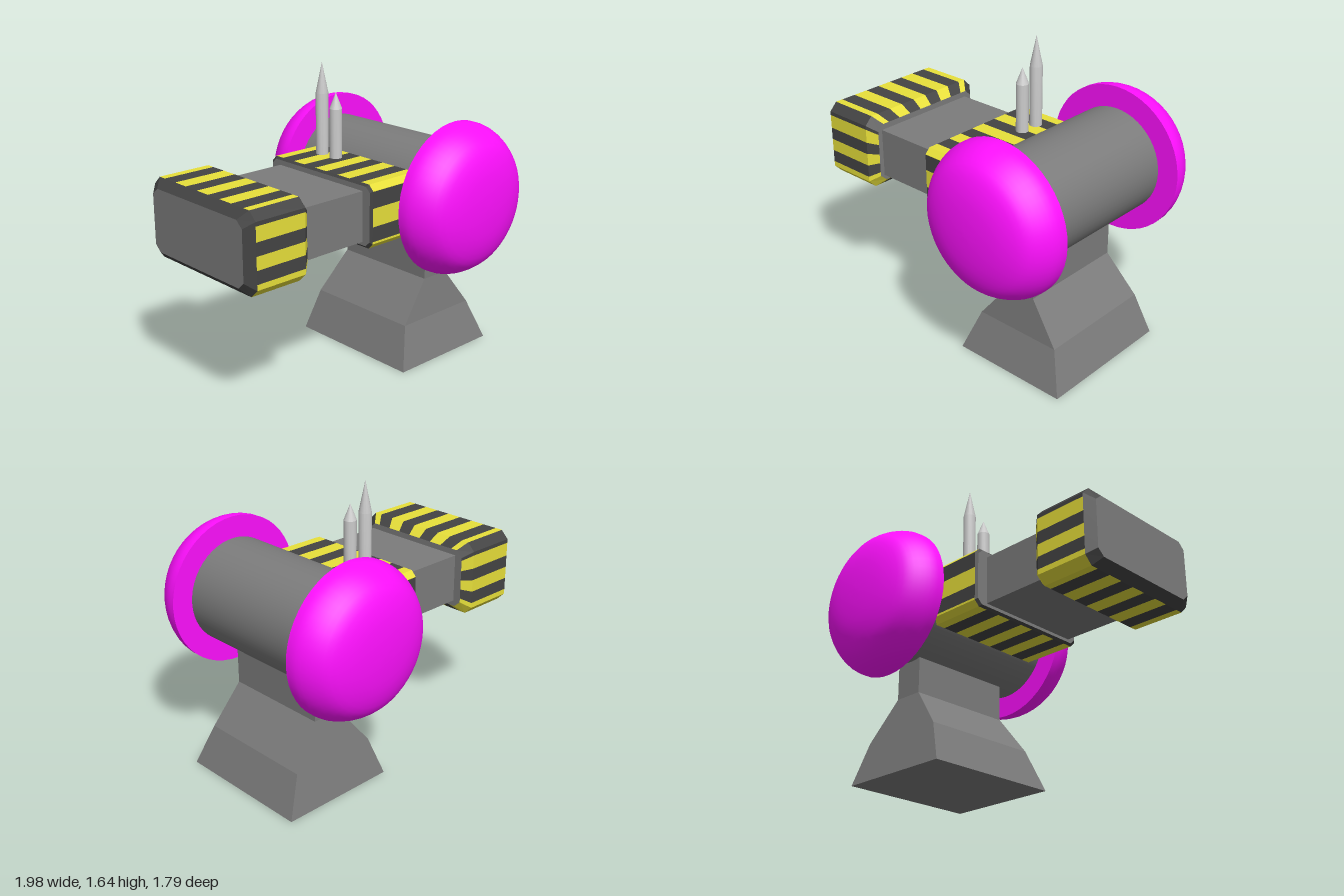
import * as THREE from 'three';
import { toCreasedNormals } from 'three/addons/utils/BufferGeometryUtils.js';

const mat = (color) => new THREE.MeshStandardMaterial({ color });
const GREY = mat(0x7c7c7c), LIGHT = mat(0xcccccc), DARK = mat(0x444444);
const YELLOW = mat(0xe8e03a), MAGENTA = mat(0xff10ff);

function add(parent, name, geometry, material, x = 0, y = 0, z = 0) {
  const mesh = new THREE.Mesh(geometry, material);
  mesh.name = name;
  mesh.position.set(x, y, z);
  parent.add(mesh);
  return mesh;
}

function fromTriangles(points) {
  const g = new THREE.BufferGeometry();
  g.setAttribute('position', new THREE.Float32BufferAttribute(points.flat(), 3));
  g.computeVertexNormals();
  return g;
}

// Chamfered block along x with warning stripes round its z/y section.
// rings: [x, inset, plain]; plain rings start an unstriped dark strip.
function stripedBlock(name, rings, hz, hy, chamfer, topCount, sideStops) {
  const group = new THREE.Group();
  group.name = name;
  const loop = []; // [z, y, colour of the segment that follows]
  const z0 = hz - chamfer, y0 = hy - chamfer;
  const sideYellow = (y) => sideStops.filter((s) => s < y).length % 2 === 0;

  function half(sign) {
    // top (sign 1) or bottom (sign -1)
    for (let i = 0; i < topCount; i++) {
      const z = i === 0 ? -z0 : -hz + (2 * hz * i) / topCount;
      loop.push([sign * z, sign * y0 + sign * chamfer, i % 2 === 0]);
    }
    loop.push([sign * z0, sign * hy, sideYellow(sign * hy * 0.95)]);
    // the side, walked down (sign 1) or up (sign -1)
    const stops = sideStops.filter((s) => Math.abs(s) < y0 - 0.001);
    const ys = [sign * y0, ...(sign > 0 ? [...stops].reverse() : stops), -sign * y0];
    ys.forEach((y, i) => {
      const next = i + 1 < ys.length ? ys[i + 1] : -sign * hy;
      loop.push([sign * hz, y, sideYellow((y + next) / 2)]);
    });
  }
  half(1);
  half(-1);

  const yellow = [], dark = [], ends = [];
  const at = (p, [x, inset]) => [x, p[1] * (1 - inset / hy), p[0] * (1 - inset / hz)];
  const first = rings[0], last = rings[rings.length - 1];
  loop.forEach((p, i) => {
    const q = loop[(i + 1) % loop.length];
    for (let r = 0; r + 1 < rings.length; r++) {
      const a = at(p, rings[r]), b = at(q, rings[r]);
      const c = at(q, rings[r + 1]), d = at(p, rings[r + 1]);
      (p[2] && !rings[r][2] ? yellow : dark).push(a, b, c, a, c, d);
    }
    ends.push([first[0], 0, 0], at(q, first), at(p, first));
    ends.push([last[0], 0, 0], at(p, last), at(q, last));
  });
  add(group, name + ' yellow stripes', fromTriangles(yellow), YELLOW);
  add(group, name + ' dark stripes', fromTriangles(dark), DARK);
  add(group, name + ' end faces', fromTriangles(ends), GREY);
  return group;
}

// Flared pedestal lofted through rectangles [y, xMin, xMax, zMin, zMax]
function pedestalGeometry() {
  const levels = [
    [0, 0.066, 0.75, -0.35, 0.462],
    [0.23, 0.149, 0.664, -0.305, 0.39],
    [0.455, 0.325, 0.495, -0.26, 0.366],
    [0.8, 0.325, 0.495, -0.26, 0.366],
  ];
  const corners = ([y, x0, x1, z0, z1]) => [[x0, y, z1], [x1, y, z1], [x1, y, z0], [x0, y, z0]];
  const tris = [];
  for (let l = 0; l + 1 < levels.length; l++) {
    const lo = corners(levels[l]), hi = corners(levels[l + 1]);
    for (let i = 0; i < 4; i++) {
      const j = (i + 1) % 4;
      tris.push(lo[i], lo[j], hi[j], lo[i], hi[j], hi[i]);
    }
  }
  const [a, b, c, d] = corners(levels[0]);
  tris.push(a, c, b, a, d, c);
  return fromTriangles(tris);
}

export function createModel() {
  const root = new THREE.Group();
  root.name = 'striped hammer turret';
  const body = new THREE.Group();
  body.name = 'turned body';
  body.rotation.y = THREE.MathUtils.degToRad(32);
  root.add(body);

  add(body, 'pedestal', pedestalGeometry(), GREY);

  // Horizontal drum with a domed cap at each end
  const drum = new THREE.CylinderGeometry(0.297, 0.297, 0.92, 48).rotateX(Math.PI / 2);
  add(body, 'drum', drum, GREY, 0.392, 0.95, 0.04);
  const dome = new THREE.SplineCurve([
    [0.42, 0], [0.415, 0.06], [0.38, 0.135], [0.32, 0.198], [0.216, 0.236], [0.1, 0.252], [0, 0.256],
  ].map(([r, h]) => new THREE.Vector2(r, h))).getPoints(18);
  dome[dome.length - 1].x = 0;
  const profile = [new THREE.Vector2(0, 0), ...dome];
  for (const [name, side, z] of [['front cap', 1, 0.49], ['back cap', -1, -0.413]]) {
    const cap = toCreasedNormals(new THREE.LatheGeometry(profile, 48), 0.7);
    add(body, name, cap.rotateX((side * Math.PI) / 2), MAGENTA, 0.392, 0.95, z);
  }

  // Arm, collar and hammer head
  add(body, 'arm', new THREE.BoxGeometry(0.9, 0.275, 0.645), GREY, -0.17, 0.95, 0.07);
  const collar = stripedBlock('collar', [[-0.19, 0.012, true], [-0.178, 0], [0.2, 0]],
    0.393, 0.172, 0.03, 9, [-0.13, -0.05, 0.05, 0.14]);
  collar.position.set(0, 0.955, 0.063);
  const head = stripedBlock('hammer head',
    [[-0.985, 0.045, true], [-0.94, 0], [-0.64, 0], [-0.59, 0.045]],
    0.405, 0.215, 0.045, 9, [-0.14, -0.07, 0, 0.07, 0.148]);
  head.position.set(0, 0.95, 0.06);
  body.add(collar, head);

  // Pointed rods on the collar
  for (const [name, z, shoulder, tip] of [['tall spike', -0.165, 1.47, 1.64], ['short spike', -0.055, 1.4, 1.49]]) {
    const rod = [[0, 1.08], [0.035, 1.08], [0.035, shoulder], [0, tip]];
    const g = new THREE.LatheGeometry(rod.map(([r, y]) => new THREE.Vector2(r, y)), 20);
    add(body, name, toCreasedNormals(g, 0.35), LIGHT, 0.04, 0, z);
  }
  return root;
}
